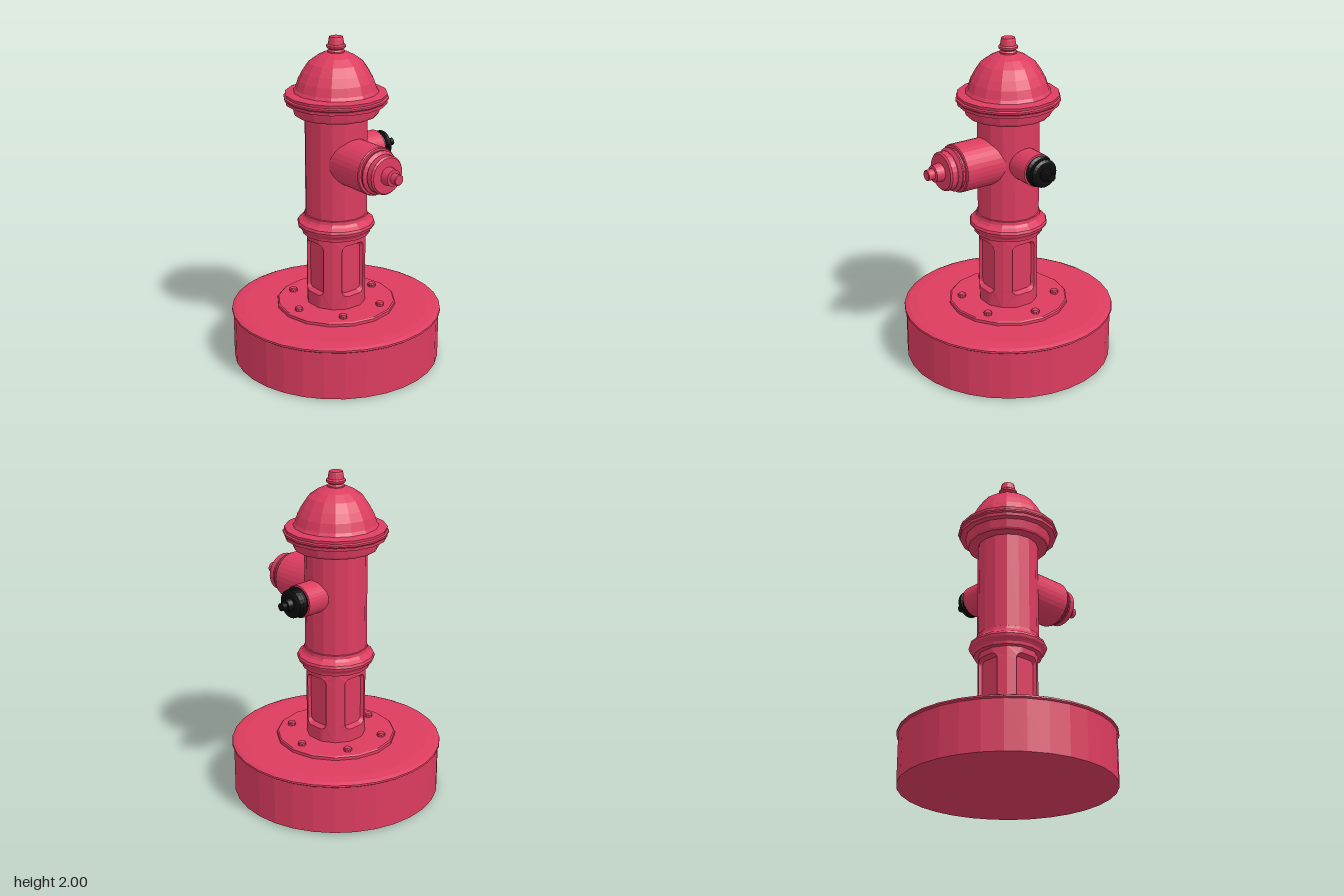
import * as THREE from 'three';

const red = new THREE.MeshStandardMaterial({ color: 0xdc3c5f, flatShading: true });
const black = new THREE.MeshStandardMaterial({ color: 0x0c0c0c, flatShading: true });

// Turned part; the profile runs from bottom to top as [radius, height]
function turned(name, profile, sides, material = red) {
  const points = profile.map(([r, y]) => new THREE.Vector2(r, y));
  const mesh = new THREE.Mesh(new THREE.LatheGeometry(points, sides), material);
  mesh.name = name;
  return mesh;
}

// Points around a rounded rectangle, counter-clockwise, 6 per corner
function roundedLoop(halfW, halfH, radius) {
  const loop = [];
  [[1, 1], [-1, 1], [-1, -1], [1, -1]].forEach(([sx, sy], corner) => {
    for (let i = 0; i < 6; i++) {
      const a = (corner + i / 5) * Math.PI / 2;
      loop.push([
        sx * (halfW - radius) + radius * Math.cos(a),
        sy * (halfH - radius) + radius * Math.sin(a),
      ]);
    }
  });
  return loop;
}

// One quarter of the lower column with a rounded recess in its middle
function recessedQuarter() {
  const R = 0.178, bottom = 0.35, top = 0.82, middle = 0.61;
  const onCylinder = ([x, y]) => [x, y, Math.sqrt(R * R - x * x)];
  const opening = roundedLoop(0.08, 0.165, 0.035).map(([x, y]) => [x, y + middle]);
  const floor = roundedLoop(0.068, 0.15, 0.028).map(([x, y]) => [x, y + middle, 0.142]);

  // Outer border: each corner's points spread along the two edges meeting there
  const edge = R * Math.SQRT1_2;
  const border = opening.map(([x, y], k) => {
    const i = k % 6, corner = Math.floor(k / 6);
    const alongSide = corner % 2 === 0 ? i < 3 : i >= 3;
    const end = y > middle ? top : bottom;
    return alongSide && i !== 2 && i !== 3 ? [Math.sign(x) * edge, y]
      : i === 2 || i === 3 ? [Math.sign(x) * edge, end] : [x, end];
  });

  const loops = [border.map(onCylinder), opening.map(onCylinder), floor];
  const n = opening.length;
  const positions = loops.flat(2).concat([0, middle, 0.142]);
  const index = [];
  for (let l = 0; l < 2; l++) {
    for (let i = 0; i < n; i++) {
      const j = (i + 1) % n, a = l * n, b = a + n;
      index.push(a + i, a + j, b + j, a + i, b + j, b + i);
    }
  }
  for (let i = 0; i < n; i++) index.push(2 * n + i, 2 * n + (i + 1) % n, 3 * n);

  // Fill the border between neighbouring corners with the curve of the column
  const geometry = new THREE.BufferGeometry();
  geometry.setAttribute('position', new THREE.Float32BufferAttribute(positions, 3));
  geometry.setIndex(index);
  geometry.computeVertexNormals();
  return geometry;
}

export function createModel() {
  const hydrant = new THREE.Group();
  hydrant.name = 'hydrant';

  // Wide round base with a lip
  hydrant.add(turned('base', [
    [0, 0], [0.63, 0.008], [0.63, 0.305], [0.64, 0.312], [0.638, 0.322],
    [0.615, 0.332], [0.56, 0.34], [0, 0.34],
  ], 32));

  // Bolted flange
  hydrant.add(turned('flange', [[0.363, 0.335], [0.363, 0.358], [0.355, 0.364], [0, 0.364]], 16));
  for (let i = 0; i < 6; i++) {
    const a = i * Math.PI / 3;
    const bolt = turned('bolt', [[0.025, 0.36], [0.025, 0.38], [0.02, 0.385], [0, 0.385]], 10);
    bolt.position.set(0.285 * Math.cos(a), 0, 0.285 * Math.sin(a));
    hydrant.add(bolt);
  }

  // Lower column, a recess on each of the four sides
  const quarter = recessedQuarter();
  for (let i = 0; i < 4; i++) {
    const panel = new THREE.Mesh(quarter, red);
    panel.name = 'lowerColumnPanel';
    panel.rotation.y = i * Math.PI / 2;
    hydrant.add(panel);
  }

  // Barrel with the bead below and the collar above
  hydrant.add(turned('barrel', [
    [0.16, 0.81], [0.205, 0.813], [0.208, 0.83], [0.215, 0.84], [0.23, 0.855],
    [0.234, 0.87], [0.228, 0.885], [0.205, 0.9], [0.194, 0.915], [0.191, 0.935],
    [0.185, 0.938], [0.185, 1.545], [0.245, 1.548], [0.252, 1.56], [0.262, 1.61],
  ], 16));

  // Brim and dome of the bonnet
  hydrant.add(turned('bonnet', [
    [0.24, 1.61], [0.298, 1.613], [0.3, 1.632], [0.308, 1.64], [0.308, 1.65],
    [0.298, 1.656], [0.3, 1.672], [0.285, 1.676], [0.25, 1.682], [0.238, 1.7],
    [0.222, 1.75], [0.195, 1.8], [0.16, 1.852], [0.11, 1.888], [0.064, 1.91], [0, 1.912],
  ], 16));
  hydrant.add(turned('topNut', [
    [0.05, 1.905], [0.05, 1.918], [0.042, 1.928], [0.056, 1.938], [0.057, 1.95],
    [0.047, 1.958], [0.042, 1.99], [0.039, 2], [0, 2],
  ], 16));

  // Large outlet facing the front
  const frontOutlet = new THREE.Group();
  frontOutlet.name = 'frontOutlet';
  frontOutlet.add(
    turned('frontPipe', [[0.143, 0], [0.143, 0.372], [0.138, 0.378], [0, 0.378]], 32),
    turned('frontCap', [
      [0.122, 0.375], [0.122, 0.388], [0.13, 0.394], [0.13, 0.402], [0.118, 0.41],
      [0.11, 0.416], [0.116, 0.424], [0.115, 0.458], [0.106, 0.468], [0.054, 0.47],
      [0.049, 0.52], [0.032, 0.522], [0.032, 0.562], [0.028, 0.565], [0, 0.565],
    ], 24),
  );
  frontOutlet.position.y = 1.285;
  frontOutlet.rotation.x = Math.PI / 2;
  hydrant.add(frontOutlet);

  // Smaller outlet on the left side with a black cap
  const sideOutlet = new THREE.Group();
  sideOutlet.name = 'sideOutlet';
  sideOutlet.add(
    turned('sidePipe', [[0.098, 0], [0.098, 0.302], [0, 0.302]], 32),
    turned('sideCap', [
      [0.08, 0.3], [0.088, 0.304], [0.092, 0.314], [0.082, 0.324], [0.078, 0.33],
      [0.086, 0.336], [0.084, 0.36], [0.07, 0.37], [0.04, 0.372], [0.035, 0.403],
      [0.023, 0.405], [0.023, 0.435], [0, 0.435],
    ], 24, black),
  );
  sideOutlet.position.y = 1.285;
  sideOutlet.rotation.z = -Math.PI / 2;
  hydrant.add(sideOutlet);

  return hydrant;
}
